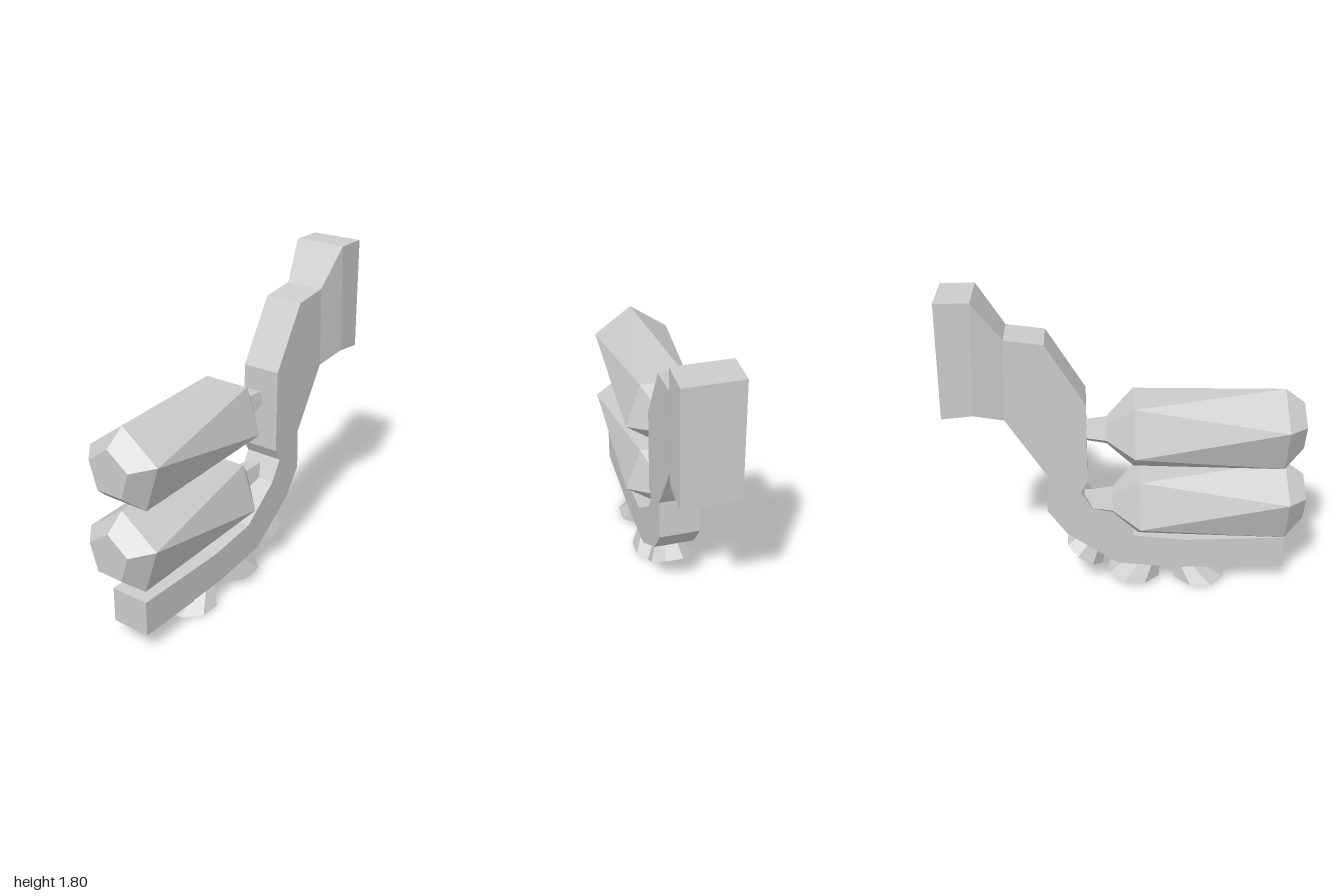
import * as THREE from 'three';

const material = new THREE.MeshStandardMaterial({ color: 0xcccccc, flatShading: true });
const V = (x, y, z = 0) => new THREE.Vector3(x, y, z);

// Skin a row of equal-length point rings; antiprism joins every ring listed in "twists" the short way
function loft(name, rings, capEnds = true) {
  const pos = [];
  const tri = (a, b, c) => {
    const area = b.clone().sub(a).cross(c.clone().sub(a)).length();
    if (area > 1e-7) for (const p of [a, b, c]) pos.push(p.x, p.y, p.z);
  };
  const n = rings[0].length;
  for (let k = 0; k + 1 < rings.length; k++) {
    for (let i = 0; i < n; i++) {
      const j = (i + 1) % n, a = rings[k], b = rings[k + 1];
      tri(a[i], a[j], b[i]);
      tri(a[j], b[j], b[i]);
    }
  }
  if (capEnds) {
    const first = rings[0], last = rings[rings.length - 1];
    for (let i = 1; i + 1 < n; i++) {
      tri(first[0], first[i + 1], first[i]);
      tri(last[0], last[i], last[i + 1]);
    }
  }
  const geometry = new THREE.BufferGeometry();
  geometry.setAttribute('position', new THREE.Float32BufferAttribute(pos, 3));
  geometry.computeVertexNormals();
  const mesh = new THREE.Mesh(geometry, material);
  mesh.name = name;
  return mesh;
}

// Regular polygon around a centre, in the plane of u and z
function ring(center, u, radius, sides, phase = 0) {
  return Array.from({ length: sides }, (_, i) => {
    const a = phase + (i / sides) * Math.PI * 2;
    return center.clone().addScaledVector(u, Math.cos(a) * radius).add(V(0, 0, Math.sin(a) * radius));
  });
}

// Curved arm: upper and lower outline points paired, with the z range of each section
function createArm() {
  const sections = [
    [-0.91, 0.31, -0.91, 0.11], [-0.33, 0.31, -0.3, 0.118], [-0.03, 0.35, 0.06, 0.16],
    [0.2, 0.53, 0.35, 0.37], [0.27, 0.65, 0.46, 0.53], [0.23, 0.72, 0.45, 0.76],
    [0.23, 1.2, 0.45, 0.76], [0.44, 1.55, 0.67, 1.115], [0.65, 1.58, 0.67, 1.115],
    [0.8, 1.8, 0.83, 1.165], [0.985, 1.8, 1.0, 1.15],
  ];
  return loft('arm', sections.map(([ux, uy, lx, ly]) => {
    const [back, front] = ux > 0.75 ? [-0.11, 0.195] : [-0.07, 0.155];
    return [V(ux, uy, front), V(lx, ly, front), V(lx, ly, back), V(ux, uy, back)];
  }));
}

// Five-sided tank whose long body twists by half a side, ending in a thin neck
function createTank(name, dx, dy) {
  const profile = [ // x, centre y, radius, twisted
    [-0.97, 1.02, 0.135, 0], [-0.86, 1.005, 0.235, 0], [-0.03, 1.01, 0.232, 1],
    [0.12, 1.005, 0.08, 1], [0.23, 1.01, 0.063, 1], [0.29, 1.015, 0.06, 1],
  ];
  const tank = loft(name, profile.map(([x, y, r, twisted]) =>
    ring(V(x, y), V(0, 1, 0), r, 5, twisted * Math.PI / 5)));
  tank.position.set(dx, dy, 0);
  return tank;
}

// Flared eight-sided nozzle with a hollow mouth
function createNozzle(name, top, topRadius, mouthA, mouthB) {
  const mouth = mouthA.clone().add(mouthB).multiplyScalar(0.5);
  const u = mouthB.clone().sub(mouthA);
  const r = u.length() / 2;
  u.normalize();
  const octagon = (t, radius) => ring(mouth.clone().lerp(top, t), u, radius, 8, Math.PI / 8);
  const k = 1 / Math.cos(Math.PI / 8);
  return loft(name, [
    octagon(1, topRadius * k), octagon(0, r * k), octagon(0.03, r * 0.68 * k), octagon(0.6, r * 0.42 * k),
  ]);
}

// Bevelled pad under the free end of the arm
function createPad() {
  const level = (x0, x1, y, z0, z1) => [V(x1, y, z0), V(x1, y, z1), V(x0, y, z1), V(x0, y, z0)];
  return loft('pad', [
    level(-0.91, -0.52, 0.125, -0.068, 0.153),
    level(-0.91, -0.53, 0.107, -0.068, 0.153),
    level(-0.85, -0.59, 0.065, -0.01, 0.09),
  ]);
}

export function createModel() {
  const group = new THREE.Group();
  group.name = 'model';
  const z = 0.04;
  group.add(
    createArm(),
    createTank('upperTank', 0, 0),
    createTank('lowerTank', -0.03, -0.455),
    createPad(),
    createNozzle('outerNozzle', V(-0.33, 0.125, z), 0.07, V(-0.57, 0.0, z), V(-0.28, 0.008, z)),
    createNozzle('middleNozzle', V(-0.1, 0.145, z), 0.095, V(-0.18, 0.025, z), V(0.11, 0.055, z)),
    createNozzle('innerNozzle', V(0.2, 0.27, z), 0.08, V(0.15, 0.12, z), V(0.355, 0.25, z)),
  );
  return group;
}
